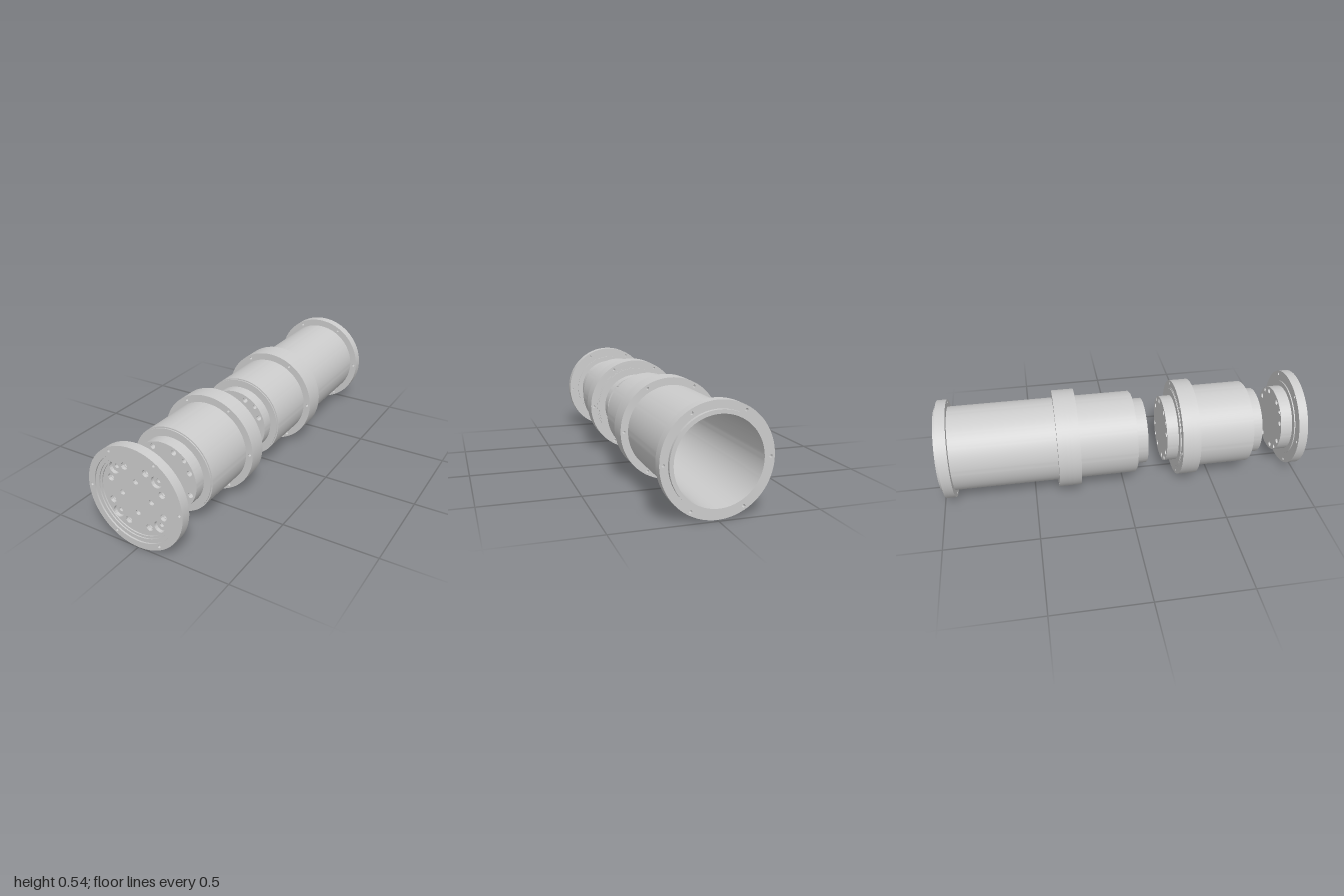
import * as THREE from 'three';
import { toCreasedNormals } from 'three/addons/utils/BufferGeometryUtils.js';

const R = 0.268, BODY = 0.229, BOSS = 0.183, BORE = 0.21;
const material = new THREE.MeshStandardMaterial({ color: 0xcccccc });

// Hole at a polar position (degrees) on a round plate
const hole = (deg, dist, r) => {
  const a = THREE.MathUtils.degToRad(deg);
  return [Math.cos(a) * dist, Math.sin(a) * dist, r];
};
const range = (n, f) => Array.from({ length: n }, (_, i) => f(i));

const flangeHoles = range(6, i => hole(i * 60, 0.25, 0.0075));
const pinHoles = r => range(8, i => hole(22.5 + i * 45, 0.158, r));
const cornerHoles = r => range(4, i => hole(45 + i * 90, 0.169, r));
const centreHoles = range(4, i => hole(i * 90, 0.083, 0.014));
const bossHoles = [...pinHoles(0.0145), ...cornerHoles(0.0115)];
// Half of the holes are closed on one diagonal
const openHoles = bossHoles.filter(([x, y]) => x * y > 0 || Math.abs(y) > 0.13);

// Round plate from z0 to z1 with circular holes [x, y, radius]
function slab(group, name, r, z0, z1, holes = []) {
  const shape = new THREE.Shape().absarc(0, 0, r, 0, Math.PI * 2);
  for (const [x, y, hr] of holes) {
    shape.holes.push(new THREE.Path().absarc(x, y, hr, 0, Math.PI * 2, true));
  }
  const geo = new THREE.ExtrudeGeometry(shape, { depth: z1 - z0, bevelEnabled: false, curveSegments: 72 });
  geo.translate(0, 0, z0);
  const mesh = new THREE.Mesh(toCreasedNormals(geo, 0.6), material);
  mesh.name = name;
  group.add(mesh);
}

const tube = (group, name, r, inner, z0, z1) => slab(group, name, r, z0, z1, [[0, 0, inner]]);

// Flange ring with blind bolt holes from both faces
function flange(group, name, z0, z1, inner = 0.22) {
  const t = (z1 - z0) * 0.4;
  const holes = [[0, 0, inner], ...flangeHoles];
  slab(group, name + 'RearFace', R, z0, z0 + t, holes);
  tube(group, name + 'Core', R, inner, z0 + t, z1 - t);
  slab(group, name + 'FrontFace', R, z1 - t, z1, holes);
}

// Drilled end boss standing on a stepped bulkhead; dir is the way it points
function endBoss(group, name, zBase, zEnd, holes = bossHoles) {
  const dir = Math.sign(zEnd - zBase), zIn = zBase - dir * 0.03, zStep = zBase + dir * 0.006;
  slab(group, name + 'Bulkhead', 0.222, Math.min(zIn, zStep), Math.max(zIn, zStep), holes);
  slab(group, name, BOSS, Math.min(zStep, zEnd), Math.max(zStep, zEnd), bossHoles);
}

function section(root, name) {
  const g = new THREE.Group();
  g.name = name;
  root.add(g);
  return g;
}

export function createModel() {
  const root = new THREE.Group();
  root.name = 'flangedCylinderAssembly';
  const axis = section(root, 'axis');
  axis.position.y = R;

  // Front cap: flange, stepped recess, drilled plate and rear boss
  const cap = section(axis, 'frontCap');
  flange(cap, 'capFlange', 0.95, 1, 0.2325);
  tube(cap, 'recessOuterStep', 0.2325, 0.212, 0.95, 0.992);
  tube(cap, 'recessInnerStep', 0.212, 0.2, 0.95, 0.986);
  slab(cap, 'capFace', 0.212, 0.962, 0.98, [...pinHoles(0.018), ...cornerHoles(0.03), ...centreHoles]);
  slab(cap, 'capPlate', 0.212, 0.944, 0.962, bossHoles);
  slab(cap, 'capBoss', BOSS, 0.88, 0.944, bossHoles);

  // Short middle cylinder with a boss at each end
  const middle = section(axis, 'middleCylinder');
  tube(middle, 'middleBody', BODY, BORE, 0.3, 0.705);
  flange(middle, 'middleFlange', 0.302, 0.4);
  endBoss(middle, 'middleFrontBoss', 0.705, 0.772);
  endBoss(middle, 'middleRearBoss', 0.302, 0.232, openHoles);

  // Long rear cylinder, open at the back
  const rear = section(axis, 'rearCylinder');
  tube(rear, 'rearBody', BODY, BORE, -1, 0.06);
  flange(rear, 'rearMiddleFlange', -0.368, -0.248);
  flange(rear, 'rearEndFlange', -0.983, -0.93);
  endBoss(rear, 'rearFrontBoss', 0.06, 0.128);

  return root;
}
